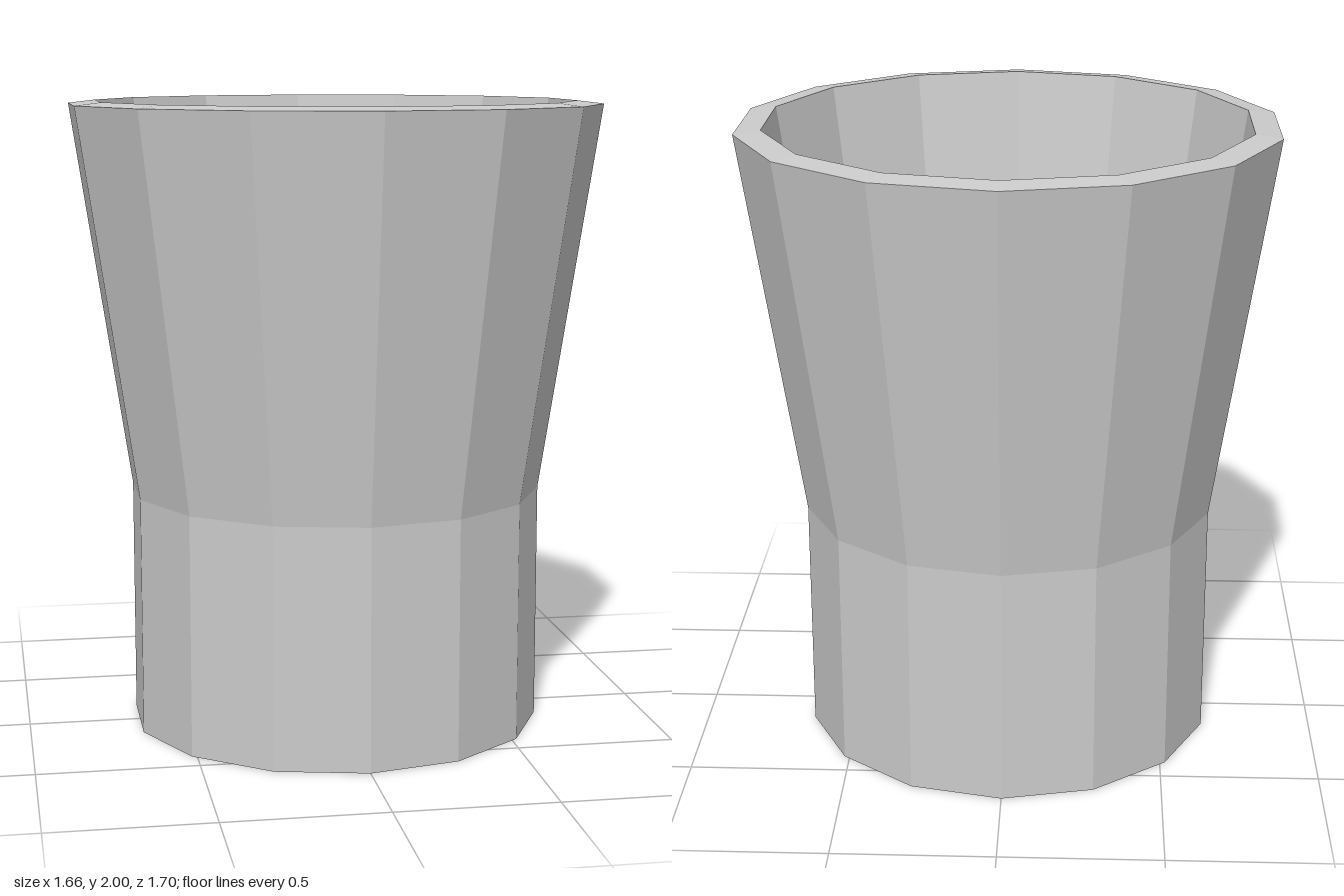
import * as THREE from 'three';

const SIDES = 14;

// Faceted surface of revolution from [radius, height] pairs
function turned(name, profile, material) {
  const points = profile.map(([r, y]) => new THREE.Vector2(r, y));
  const mesh = new THREE.Mesh(new THREE.LatheGeometry(points, SIDES), material);
  mesh.name = name;
  return mesh;
}

export function createModel() {
  const group = new THREE.Group();
  group.name = 'cup';
  const material = new THREE.MeshStandardMaterial({ color: 0xcccccc, flatShading: true });

  // Closed base and straight lower wall
  group.add(turned('base', [[0, 0], [0.66, 0], [0.66, 0.76]], material));
  // Flared outer wall and slightly raised rim
  group.add(turned('flaredWall', [[0.66, 0.76], [0.85, 1.99]], material));
  group.add(turned('rim', [[0.85, 1.99], [0.765, 2]], material));
  // Tapering inner wall and the floor of the recess
  group.add(turned('innerWall', [[0.765, 2], [0.685, 1.46]], material));
  group.add(turned('innerFloor', [[0.685, 1.46], [0, 1.46]], material));

  return group;
}
